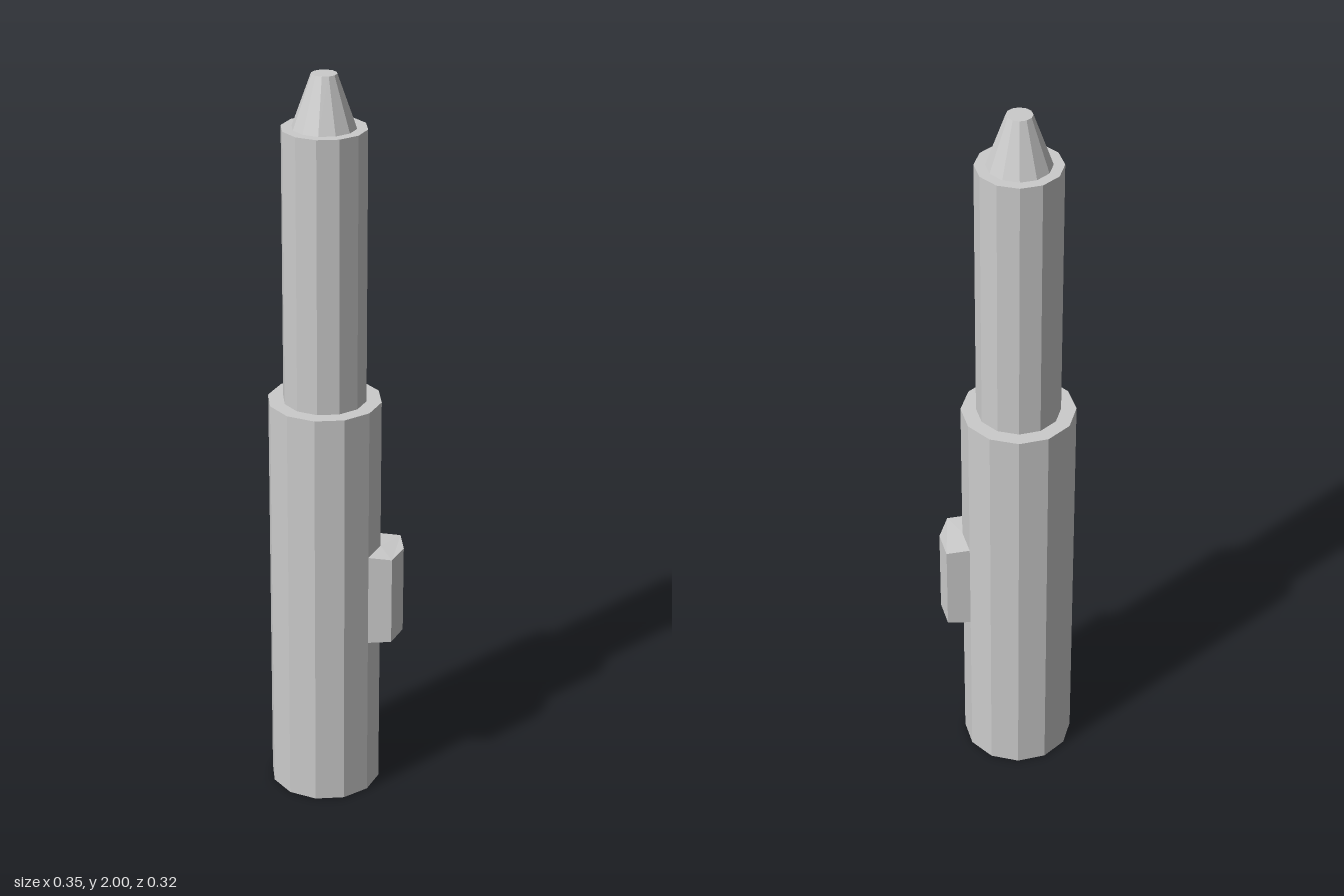
import * as THREE from 'three';

const SIDES = 12;
const RADIUS = 0.15;
const CX = -0.025, CZ = 0.0075;

export function createModel() {
  const model = new THREE.Group();
  const material = new THREE.MeshStandardMaterial({ color: 0xcccccc, flatShading: true });

  const add = (name, geometry) => {
    const mesh = new THREE.Mesh(geometry, material);
    mesh.name = name;
    mesh.position.set(CX, 0, CZ);
    model.add(mesh);
  };

  // Stacked twelve-sided sections: name, bottom radius, top radius, bottom y, top y
  const sections = [
    ['handle', RADIUS, RADIUS, 0, 1.133],
    ['sleeve', 0.11, 0.11, 1.133, 1.863],
    ['taperedTip', 0.0825, 0.033, 1.863, 2],
  ];
  for (const [name, bottom, top, y0, y1] of sections) {
    const geometry = new THREE.CylinderGeometry(top, bottom, y1 - y0, SIDES);
    add(name, geometry.translate(0, (y0 + y1) / 2, 0));
  }

  // Push button: two neighbouring handle facets pulled outwards
  const inner = [0, 1, 2].map((i) => {
    const a = (i * Math.PI * 2) / SIDES;
    return new THREE.Vector2(Math.cos(a) * RADIUS, Math.sin(a) * RADIUS);
  });
  const pull = new THREE.Vector2(0.05, 0.037);
  const outer = inner.map((p) => p.clone().add(pull));
  const y0 = 0.46, y1 = 0.716;
  const button = new THREE.ExtrudeGeometry(
    new THREE.Shape([...outer, ...inner.slice().reverse()]),
    { depth: y1 - y0, bevelEnabled: false },
  );
  button.rotateX(-Math.PI / 2).translate(0, y0, 0);

  // Draw the button's outer edge in slightly at top and bottom
  const pos = button.attributes.position;
  const mid = (y0 + y1) / 2;
  for (let i = 0; i < pos.count; i++) {
    if (Math.hypot(pos.getX(i), pos.getZ(i)) > RADIUS + 0.01) {
      pos.setY(i, mid + (pos.getY(i) - mid) * 0.96);
    }
  }
  button.computeVertexNormals();
  add('button', button);

  return model;
}
